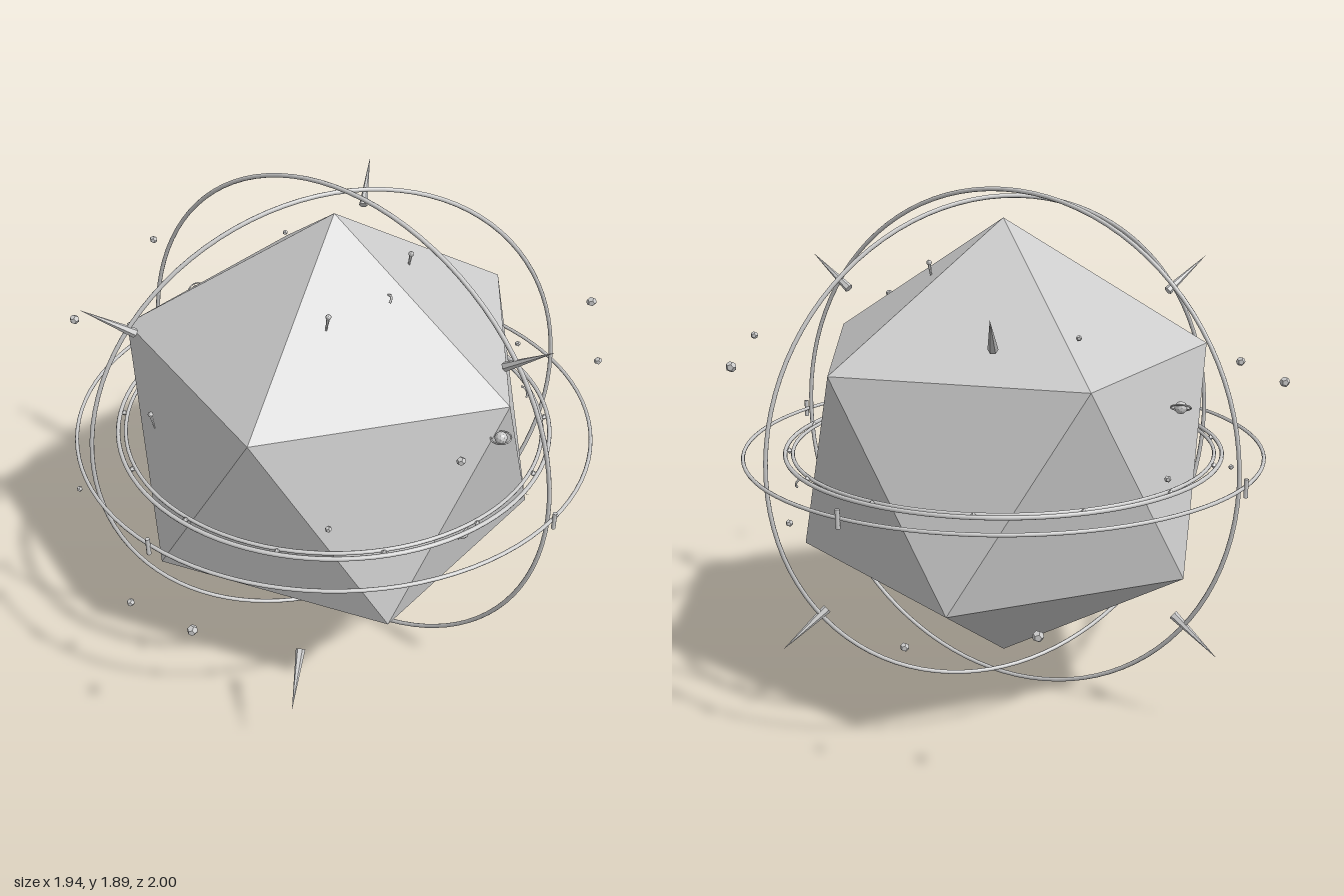
import * as THREE from 'three';
import { ConvexGeometry } from 'three/addons/geometries/ConvexGeometry.js';

const smooth = new THREE.MeshStandardMaterial({ color: 0xcccccc });
const flat = new THREE.MeshStandardMaterial({ color: 0xcccccc, flatShading: true });
const UP = new THREE.Vector3(0, 1, 0);
const CENTRE = new THREE.Vector3(-0.01, 0.946, -0.03);

function add(parent, name, geometry, position = [0, 0, 0], material = flat) {
  const mesh = new THREE.Mesh(geometry, material);
  mesh.name = name;
  mesh.position.set(...position);
  parent.add(mesh);
  return mesh;
}

// Twenty-sided core standing on one corner
function coreGeometry(radius) {
  const points = [new THREE.Vector3(0, radius, 0), new THREE.Vector3(0, -radius, 0)];
  const h = radius / Math.sqrt(5);
  for (let i = 0; i < 10; i++) {
    const a = i * Math.PI / 5;
    points.push(new THREE.Vector3(2 * h * Math.cos(a), i % 2 ? -h : h, 2 * h * Math.sin(a)));
  }
  return new ConvexGeometry(points);
}

// Small ball circled by a thin ring
function ringedMoon(parent, position, tiltX, tiltZ) {
  const moon = new THREE.Group();
  moon.name = 'ringedMoon';
  moon.position.set(...position);
  moon.rotation.set(tiltX, 0, tiltZ);
  add(moon, 'moonBall', new THREE.IcosahedronGeometry(0.022, 1));
  add(moon, 'moonRing', new THREE.TorusGeometry(0.034, 0.003, 6, 24), [0, 0, 0], smooth).rotation.x = Math.PI / 2;
  parent.add(moon);
}

export function createModel() {
  const model = new THREE.Group();
  const centred = new THREE.Group();
  centred.name = 'coreAndRings';
  centred.position.copy(CENTRE);
  model.add(centred);

  add(centred, 'core', coreGeometry(0.839));

  // Rings: radius, tube, rotation about x, rotation about y
  [
    ['frontRing', 0.938, 0.008, 0, 0],
    ['slantedRing', 0.915, 0.008, 0, Math.PI / 3],
    ['outerEquatorRing', 0.955, 0.007, Math.PI / 2, 0],
    ['middleEquatorRing', 0.805, 0.008, Math.PI / 2, 0],
    ['innerEquatorRing', 0.777, 0.007, Math.PI / 2, 0],
  ].forEach(([name, radius, tube, rx, ry]) => {
    add(centred, name, new THREE.TorusGeometry(radius, tube, 8, 96), [0, 0, 0], smooth).rotation.set(rx, ry, 0);
  });

  // Upright pegs on the outer equator ring
  for (let i = 0; i < 4; i++) {
    const a = i * Math.PI / 2;
    add(centred, 'ringPeg', new THREE.CylinderGeometry(0.008, 0.008, 0.065, 8),
      [0.963 * Math.cos(a), 0, 0.963 * Math.sin(a)], smooth);
  }

  // Little beads on the inner equator rings
  for (let i = 0; i < 14; i++) {
    const a = (i + 0.5) * Math.PI / 7;
    add(centred, 'ringBead', new THREE.OctahedronGeometry(0.013), [0.79 * Math.cos(a), 0, 0.79 * Math.sin(a)]);
  }

  // Six spikes pointing outwards, three above and three below
  for (let i = 0; i < 6; i++) {
    const a = i * Math.PI / 3;
    const dir = new THREE.Vector3(0.89 * Math.cos(a), i % 2 ? -0.645 : 0.645, 0.89 * Math.sin(a)).normalize();
    const spike = add(centred, 'spike', new THREE.ConeGeometry(0.017, 0.215, 6), dir.clone().multiplyScalar(0.992).toArray());
    spike.quaternion.setFromUnitVectors(UP, dir);
  }

  // Floating pebbles: x, y, z, radius
  [
    [0.222, 0.745, 0.98, 0.019], [-0.217, 0.517, 0.87, 0.015],
    [0.82, 1.376, 0.373, 0.015], [0.834, 1.337, -0.435, 0.014],
    [-0.927, 1.215, 0.407, 0.019], [-0.93, 1.376, -0.03, 0.015],
    [0.6, 1.318, -0.8, 0.019], [-0.633, 0.63, -0.81, 0.019],
    [-0.216, 0.537, -0.935, 0.015], [0.206, 0.885, -0.978, 0.012],
    [-0.88, 1.08, -0.45, 0.011], [0.58, 1.2, 0.715, 0.011],
    [-0.61, 0.753, 0.73, 0.011], [-0.475, 1.45, -0.3, 0.01],
  ].forEach(([x, y, z, r]) => add(model, 'pebble', new THREE.DodecahedronGeometry(r), [x, y, z]));

  // Pins near the surface: a head with a short tapering stem
  [[-0.32, 1.155, 0.6], [0.2, 1.59, 0.255], [0.195, 1.63, -0.2]].forEach(([x, y, z]) => {
    const pin = new THREE.Group();
    pin.name = 'pin';
    pin.position.set(x, y, z);
    add(pin, 'pinHead', new THREE.IcosahedronGeometry(0.01, 1));
    add(pin, 'pinStem', new THREE.CylinderGeometry(0.006, 0.003, 0.05, 6), [0, -0.03, 0]);
    pin.rotation.set(0, 0, -x * 0.9);
    model.add(pin);
  });

  // Small curved slivers
  [[0.27, 1.575, 0.045, -0.5], [0.42, 0.895, -0.66, 0.8]].forEach(([x, y, z, turn]) => {
    add(model, 'sliver', new THREE.TorusGeometry(0.03, 0.004, 6, 12, 2), [x, y, z], smooth).rotation.set(-0.9, turn, 0);
  });

  ringedMoon(model, [-0.74, 1.2, -0.065], 0.5, -0.2);
  ringedMoon(model, [0.745, 1.225, 0.018], 0.1, 0.05);
  ringedMoon(model, [0.625, 0.74, 0.013], 0.3, 1.1);

  return model;
}
